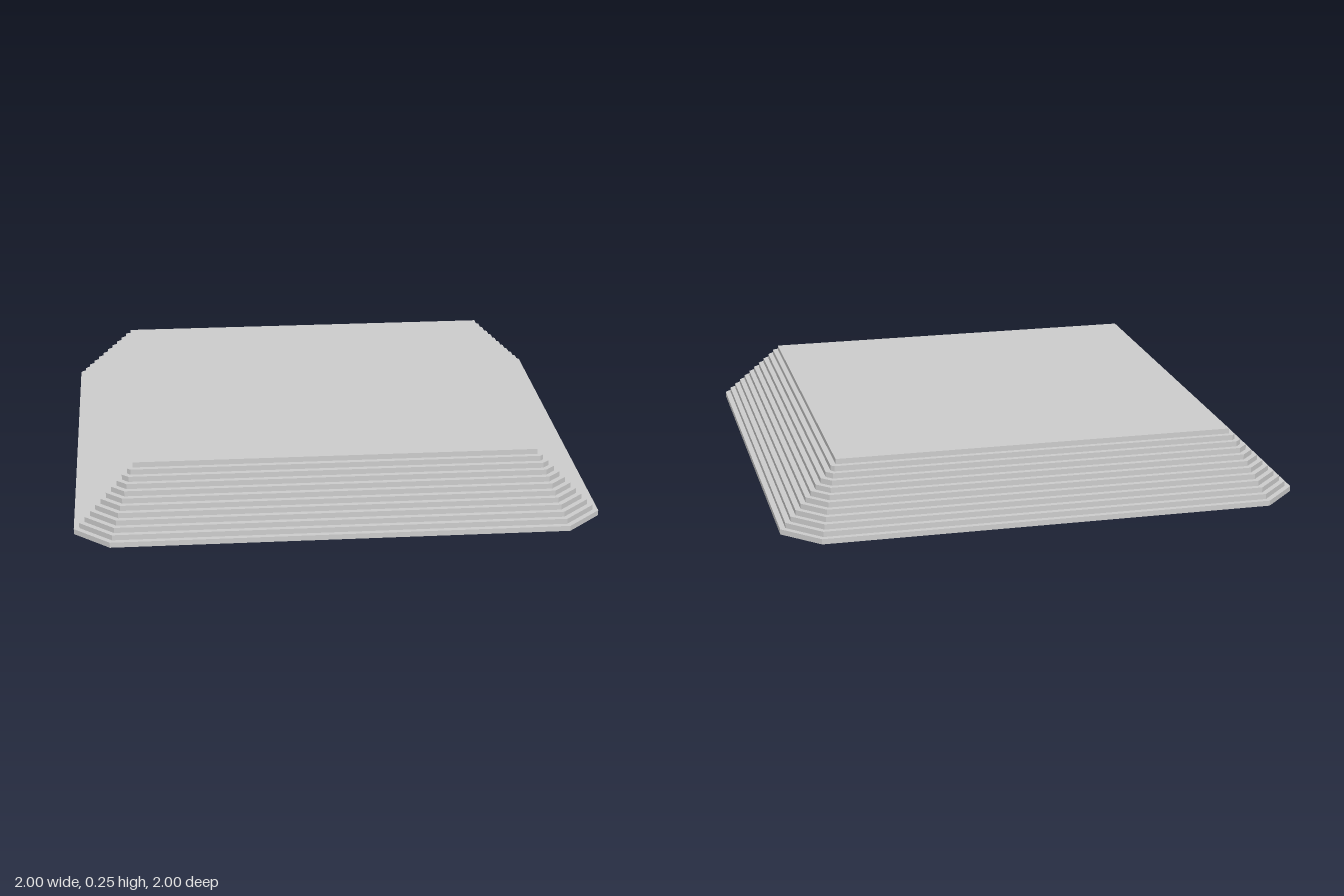
import * as THREE from 'three';

const LAYERS = 12;
const HEIGHT = 0.245;
const BOTTOM = 1, TOP = 0.773; // half widths
const CHAMFER = 0.135; // corner cut of the lowest layer, fading to none at the top

// Square outline with cut corners
function outline(half, cut) {
  const f = half - cut;
  const points = cut > 1e-4
    ? [[half, -f], [half, f], [f, half], [-f, half], [-half, f], [-half, -f], [-f, -half], [f, -half]]
    : [[half, -half], [half, half], [-half, half], [-half, -half]];
  return new THREE.Shape(points.map(([x, y]) => new THREE.Vector2(x, y)));
}

export function createModel() {
  const group = new THREE.Group();
  group.name = 'steppedPlatform';
  const material = new THREE.MeshStandardMaterial({ color: 0xcccccc, flatShading: true });
  const step = HEIGHT / LAYERS;

  // Stacked slabs, each smaller and squarer than the one below
  for (let i = 0; i < LAYERS; i++) {
    const t = i / (LAYERS - 1);
    const shape = outline(THREE.MathUtils.lerp(BOTTOM, TOP, t), CHAMFER * (1 - t));
    const geometry = new THREE.ExtrudeGeometry(shape, { depth: step, bevelEnabled: false });
    geometry.rotateX(-Math.PI / 2);
    const slab = new THREE.Mesh(geometry, material);
    slab.name = `stepLayer${i + 1}`;
    slab.position.y = i * step;
    group.add(slab);
  }
  return group;
}
